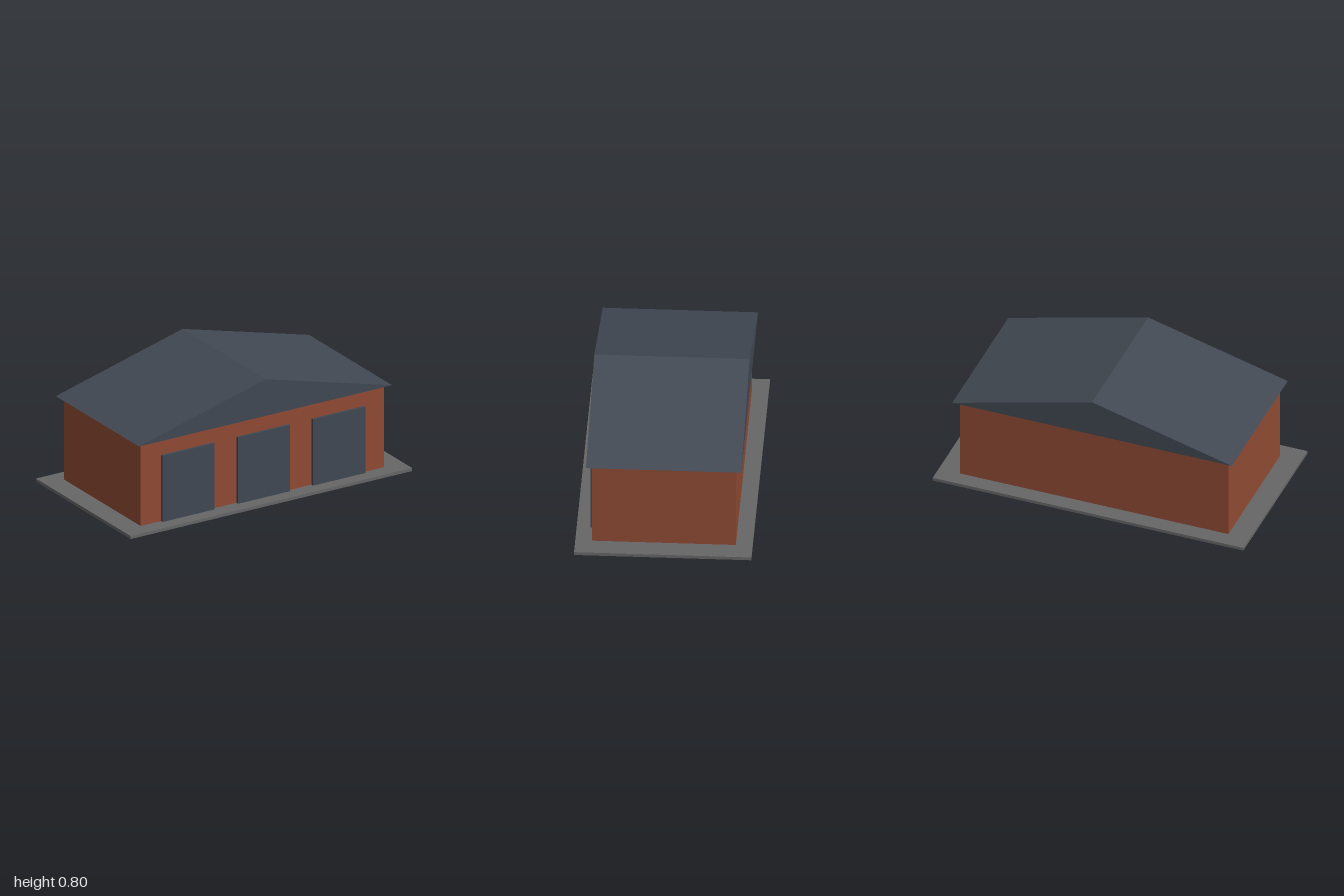
import * as THREE from 'three';

const material = (name, color) => {
  const m = new THREE.MeshStandardMaterial({ color });
  m.name = name;
  return m;
};

export function createModel() {
  const garage = new THREE.Group();
  garage.name = 'garage';
  const brick = material('brick', 0x8f4a33);
  const slate = material('slate', 0x414852);
  const concrete = material('concrete', 0x666666);

  const slabTop = 0.02, eaves = 0.557, ridge = 0.795;
  const wallDepth = 0.865, roofDepth = 0.935;

  // Adds a box standing on height y
  const box = (name, mat, w, h, d, x, y, z) => {
    const mesh = new THREE.Mesh(new THREE.BoxGeometry(w, h, d), mat);
    mesh.name = name;
    mesh.position.set(x, y + h / 2, z);
    garage.add(mesh);
  };

  // Ground slab and walls
  box('slab', concrete, 2, slabTop, 1.067, 0, 0, 0);
  box('walls', brick, 1.73, eaves - slabTop, wallDepth, 0, slabTop, 0);

  // Three garage doors, standing slightly proud of the front wall
  ['rightDoor', 'middleDoor', 'leftDoor'].forEach((name, i) =>
    box(name, slate, 0.37, 0.43, 0.035, (i - 1) * 0.535, slabTop, wallDepth / 2));

  // Gable roof: a triangular prism overhanging the walls
  const gable = new THREE.Shape();
  gable.moveTo(-0.9, eaves);
  gable.lineTo(0.9, eaves);
  gable.lineTo(0, ridge);
  gable.closePath();
  const roof = new THREE.Mesh(
    new THREE.ExtrudeGeometry(gable, { depth: roofDepth, bevelEnabled: false }), slate);
  roof.name = 'roof';
  roof.position.z = -roofDepth / 2;
  garage.add(roof);

  return garage;
}
